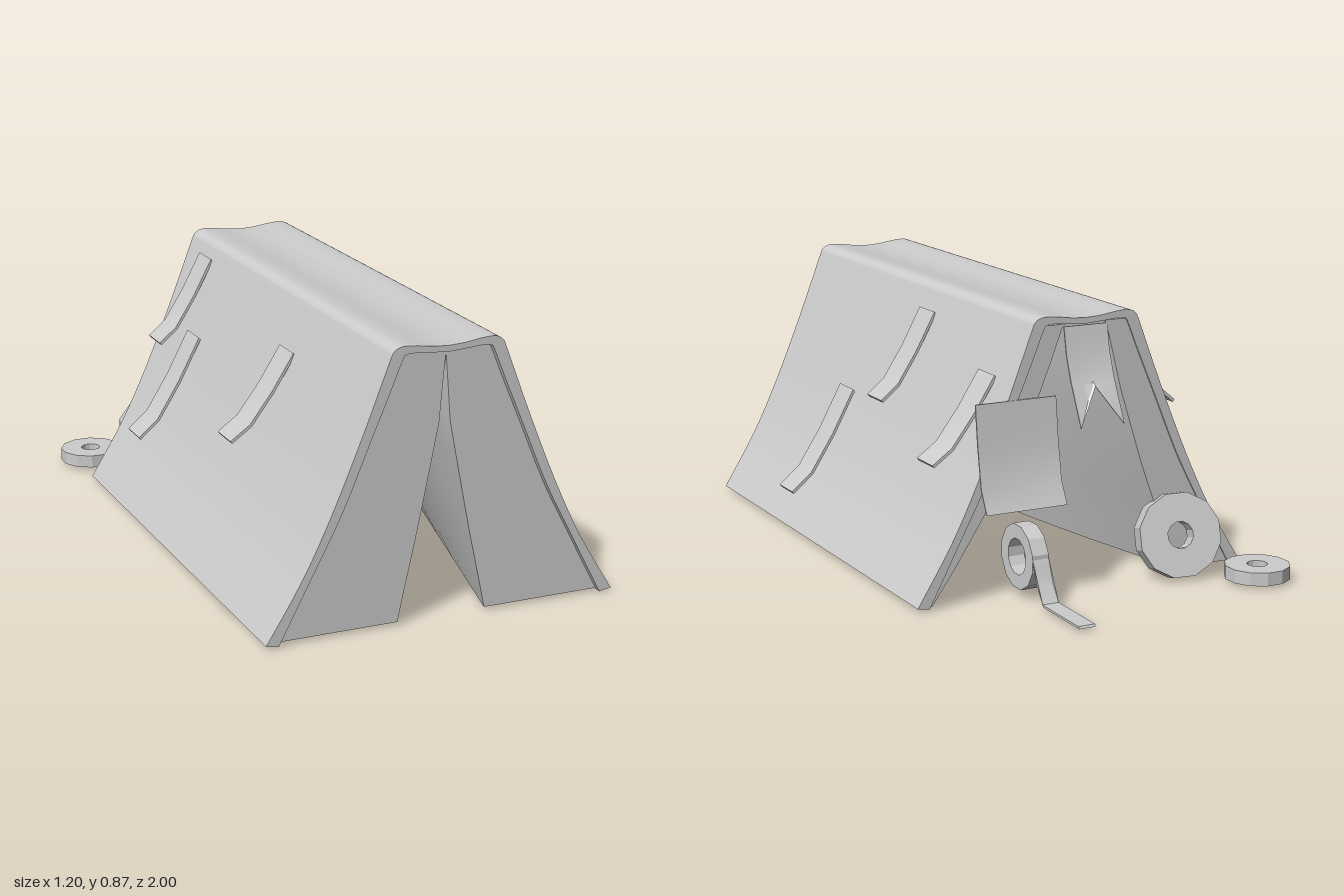
import * as THREE from 'three';
import { toCreasedNormals } from 'three/addons/utils/BufferGeometryUtils.js';

const MID = 0.02; // tent ridge is slightly off centre
const mat = new THREE.MeshStandardMaterial({ color: 0xcccccc, side: THREE.DoubleSide });

function add(group, name, geometry) {
  const mesh = new THREE.Mesh(geometry, mat);
  mesh.name = name;
  group.add(mesh);
  return mesh;
}

// Extrude a closed outline along z, from z0 to z1
function prism(points, z0, z1, holes = []) {
  const shape = new THREE.Shape(points.map(p => new THREE.Vector2(...p)));
  shape.holes = holes;
  const g = new THREE.ExtrudeGeometry(shape, { depth: z1 - z0, bevelEnabled: false });
  return toCreasedNormals(g.translate(0, 0, z0), 0.5);
}

// Smooth a half profile and mirror it about the ridge
function fullPath(half) {
  const pts = new THREE.SplineCurve(half.map(p => new THREE.Vector2(...p))).getPoints(44);
  return [
    ...pts.map(p => [MID + p.x, p.y]),
    ...pts.slice(0, -1).reverse().map(p => [MID - p.x, p.y])
  ];
}

// Thin band following a path, thickened by an offset
const band = (path, dx, dy) => [...path, ...path.map(([x, y]) => [x + dx, y + dy]).reverse()];

// Thick side curtain: wide at the front, thinning towards the back, less so near the ridge
function curtainGeometry(side, thinning, ridge) {
  const ys = [0.013, 0.12, 0.25, 0.37, 0.5, 0.62, 0.73, 0.832, 0.843];
  const opening = [0.145, 0.122, 0.093, 0.068, 0.042, 0.018, 0.009, 0, 0];
  const wall = [0.537, 0.481, 0.412, 0.347, 0.29, 0.238, 0.191, 0.149, 0.139];
  const n = ys.length, steps = 8, ring = 2 * n, pos = [], index = [];
  for (let k = 0; k <= steps; k++) {
    const z = 0.98 - 1.595 * k / steps, f = thinning(k / steps);
    const inner = ys.map((y, i) => {
      const s = f * (1 + (ridge - 1) * i / (n - 1));
      return [opening[i] + (wall[i] - opening[i]) * s, y];
    });
    const outer = ys.map((y, i) => [wall[i], y]).reverse();
    for (const [x, y] of [...inner, ...outer]) pos.push(MID + side * x, y, z);
  }
  const quad = (a, b, c, d) => side > 0 ? index.push(a, b, c, a, c, d) : index.push(a, c, b, a, d, c);
  for (let k = 0; k < steps; k++)
    for (let i = 0; i < ring; i++) {
      const j = (i + 1) % ring, a = k * ring, b = a + ring;
      quad(a + i, a + j, b + j, b + i);
    }
  for (let i = 0; i < n - 1; i++) {
    const o = ring - 1 - i, e = steps * ring;
    quad(i, o, o - 1, i + 1);
    quad(e + i, e + i + 1, e + o - 1, e + o);
  }
  const g = new THREE.BufferGeometry();
  g.setAttribute('position', new THREE.Float32BufferAttribute(pos, 3));
  g.setIndex(index);
  return toCreasedNormals(g, 0.5);
}

// Thin hanging cloth following a (z, y) path, optionally with a notched lower edge
function cloth(x0, x1, path, notch) {
  const rows = path.length - 1;
  const g = new THREE.BoxGeometry(1, 1, 1, 2, rows, 1);
  const p = g.attributes.position;
  for (let i = 0; i < p.count; i++) {
    const u = p.getX(i) + 0.5, row = Math.round((0.5 - p.getY(i)) * rows);
    const [z, y] = notch && row === rows && Math.abs(u - 0.5) < 0.1 ? notch : path[row];
    p.setXYZ(i, x0 + (x1 - x0) * u, y, z + p.getZ(i) * 0.005);
  }
  return toCreasedNormals(g, 0.5);
}

// Polygonal ring with a hole, axis along z
function ringGeometry(radius, hole, width) {
  const circle = r => Array.from({ length: 12 }, (_, i) => {
    const a = (i + 0.5) * Math.PI / 6;
    return [r * Math.cos(a), r * Math.sin(a)];
  });
  const cut = new THREE.Path(circle(hole).map(p => new THREE.Vector2(...p)));
  return prism(circle(radius), -width / 2, width / 2, [cut]);
}

export function createModel() {
  const model = new THREE.Group();
  model.name = 'tent';

  // Canvas with a sagging roof
  const outer = fullPath([[0.575, 0.015], [0.46, 0.203], [0.368, 0.39], [0.279, 0.6], [0.22, 0.75], [0.185, 0.84],
    [0.176, 0.857], [0.162, 0.867], [0.14, 0.871], [0.1, 0.868], [0.05, 0.861], [0, 0.858]]);
  const inner = fullPath([[0.535, 0.008], [0.432, 0.203], [0.335, 0.39], [0.245, 0.6], [0.185, 0.74], [0.147, 0.832],
    [0.136, 0.844], [0.115, 0.847], [0.06, 0.843], [0, 0.839]]);
  add(model, 'canvas', prism([...outer, ...inner.reverse()], -0.62, 1));

  // Side curtains forming the front opening
  add(model, 'leftCurtain', curtainGeometry(1, t => 0.97 * t, 0.5));
  add(model, 'rightCurtain', curtainGeometry(-1, t => 0.12 * t + 0.38 * t * t, 1));

  // Loose strips on the slopes: side, top x, top y, run, drop, z
  const strips = [
    [1, 0.23, 0.79, 0.193, 0.275, 0.06], [1, 0.272, 0.68, 0.213, 0.26, -0.445], [1, 0.372, 0.48, 0.23, 0.33, 0.4],
    [-1, 0.18, 0.815, 0.19, 0.275, -0.455], [-1, 0.22, 0.705, 0.212, 0.26, 0.36], [-1, 0.28, 0.585, 0.22, 0.325, -0.315]
  ];
  for (const [side, x, y, run, drop, z] of strips) {
    const path = [[0, 0], [0.34, 0.44], [0.69, 0.82], [1, 1]].map(([u, v]) => [side * (x + run * u), y - drop * v]);
    add(model, 'looseStrip', prism(band(path, -side * 0.006, -0.008), z - 0.055, z + 0.055));
  }

  // Cloths hanging at the back
  add(model, 'notchedBanner', cloth(-0.055, 0.096,
    [[-0.615, 0.835], [-0.632, 0.75], [-0.662, 0.67], [-0.727, 0.54]], [-0.678, 0.655]));
  add(model, 'squareCloth', cloth(0.125, 0.4,
    [[-0.62, 0.625], [-0.635, 0.5], [-0.658, 0.37], [-0.695, 0.3]]));

  // Rings lying on the ground and leaning on the tent
  const flatRing = add(model, 'flatRing', ringGeometry(0.105, 0.033, 0.043));
  flatRing.rotation.x = Math.PI / 2;
  flatRing.position.set(-0.498, 0.035, -0.812);

  const leaningRing = add(model, 'leaningRing', ringGeometry(0.137, 0.043, 0.06));
  leaningRing.quaternion.setFromUnitVectors(new THREE.Vector3(0, 0, 1),
    new THREE.Vector3(-0.2, -0.26, 0.94).normalize());
  leaningRing.position.set(-0.295, 0.139, -0.662);

  // Upright roll with its tail along the ground
  const roll = new THREE.Group();
  roll.name = 'tapeRoll';
  const wheel = add(roll, 'rollRing', ringGeometry(0.104, 0.058, 0.056));
  wheel.position.set(0.61, 0.13, 0);
  const tail = [[0.7, 0.17], [0.72, 0.12], [0.74, 0.07], [0.78, 0.015], [1, 0.012]];
  add(roll, 'rollTail', prism(band(tail, -0.005, 0.007), -0.028, 0.028));
  roll.rotation.y = Math.PI / 2; // local x runs to the back
  roll.position.x = 0.2245;
  model.add(roll);

  return model;
}
